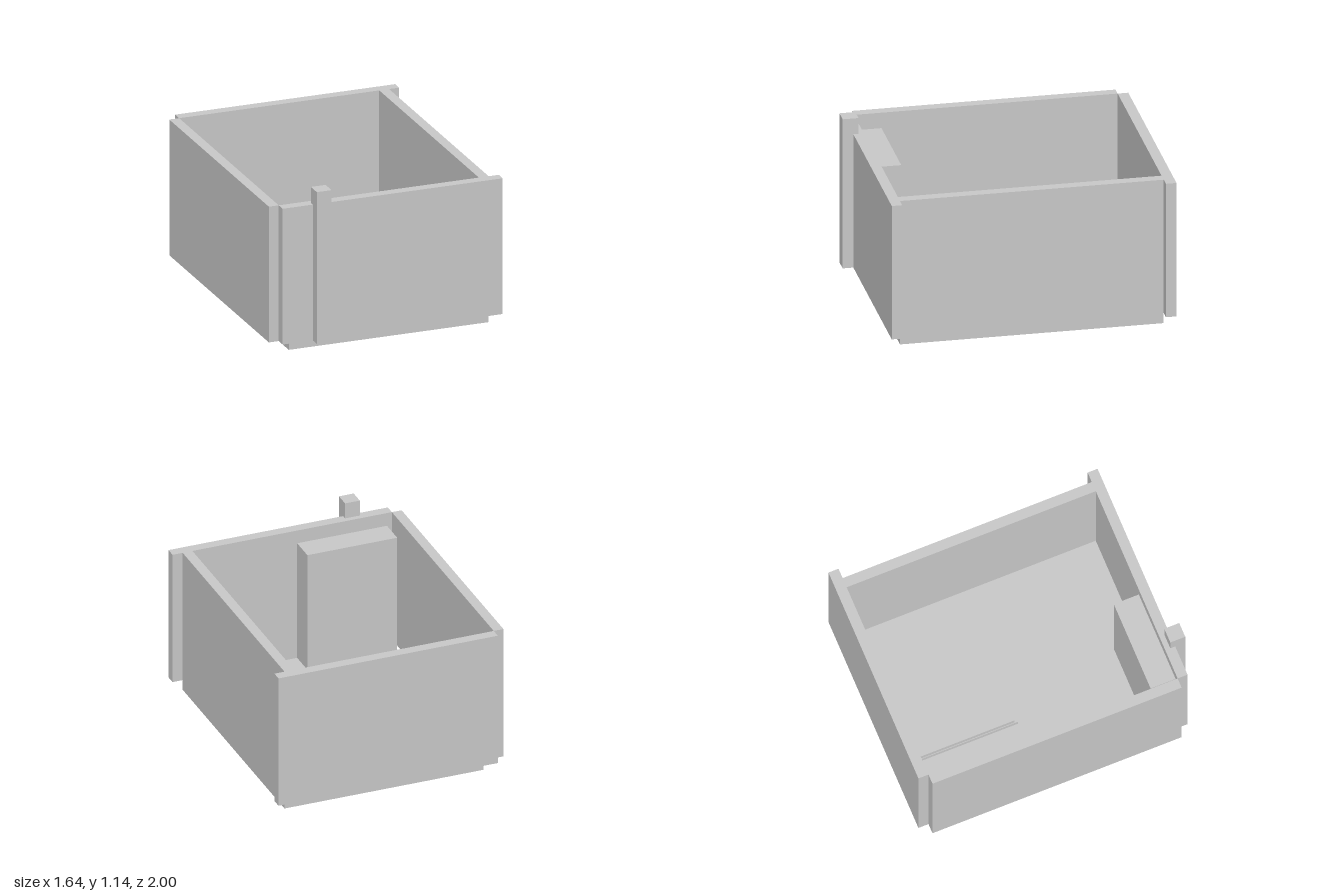
import * as THREE from 'three';

export function createModel() {
  const group = new THREE.Group();
  group.name = 'openCrate';
  const grey = new THREE.MeshStandardMaterial({ color: 0xc8c8c8 });
  grey.name = 'light grey';

  // Box given by its extents on each axis
  const block = (name, [x0, x1], [y0, y1], [z0, z1]) => {
    const mesh = new THREE.Mesh(new THREE.BoxGeometry(x1 - x0, y1 - y0, z1 - z0), grey);
    mesh.position.set((x0 + x1) / 2, (y0 + y1) / 2, (z0 + z1) / 2);
    mesh.name = name;
    group.add(mesh);
  };

  const floorTop = 0.072, wallTop = 1.032;
  const wallY = [floorTop, wallTop];
  const inside = [-0.928, 0.857];

  // Floor and the four overlapping walls
  block('floor', [-0.678, 0.678], [0, floorTop], inside);
  block('leftWall', [0.678, 0.748], [0, wallTop], inside);
  block('rightWall', [-0.82, -0.75], wallY, inside);
  block('frontWall', [-0.75, 0.82], wallY, [0.857, 0.928]);
  block('backWall', [-0.75, 0.82], wallY, [-1, -0.928]);

  // Post on the front wall
  block('frontPost', [-0.535, -0.43], [floorTop, 1.145], [0.893, 1]);

  // Tall compartment against the inside of the front wall
  block('innerCompartment', [-0.715, -0.072], [floorTop, 0.936], [0.678, 0.857]);

  // Low slab with a slightly smaller top layer, lying on the floor
  block('slabBase', [-0.32, 0.242], [floorTop, 0.11], [-0.82, -0.11]);
  block('slabTop', [-0.316, 0.238], [0.11, 0.15], [-0.816, -0.132]);

  return group;
}
